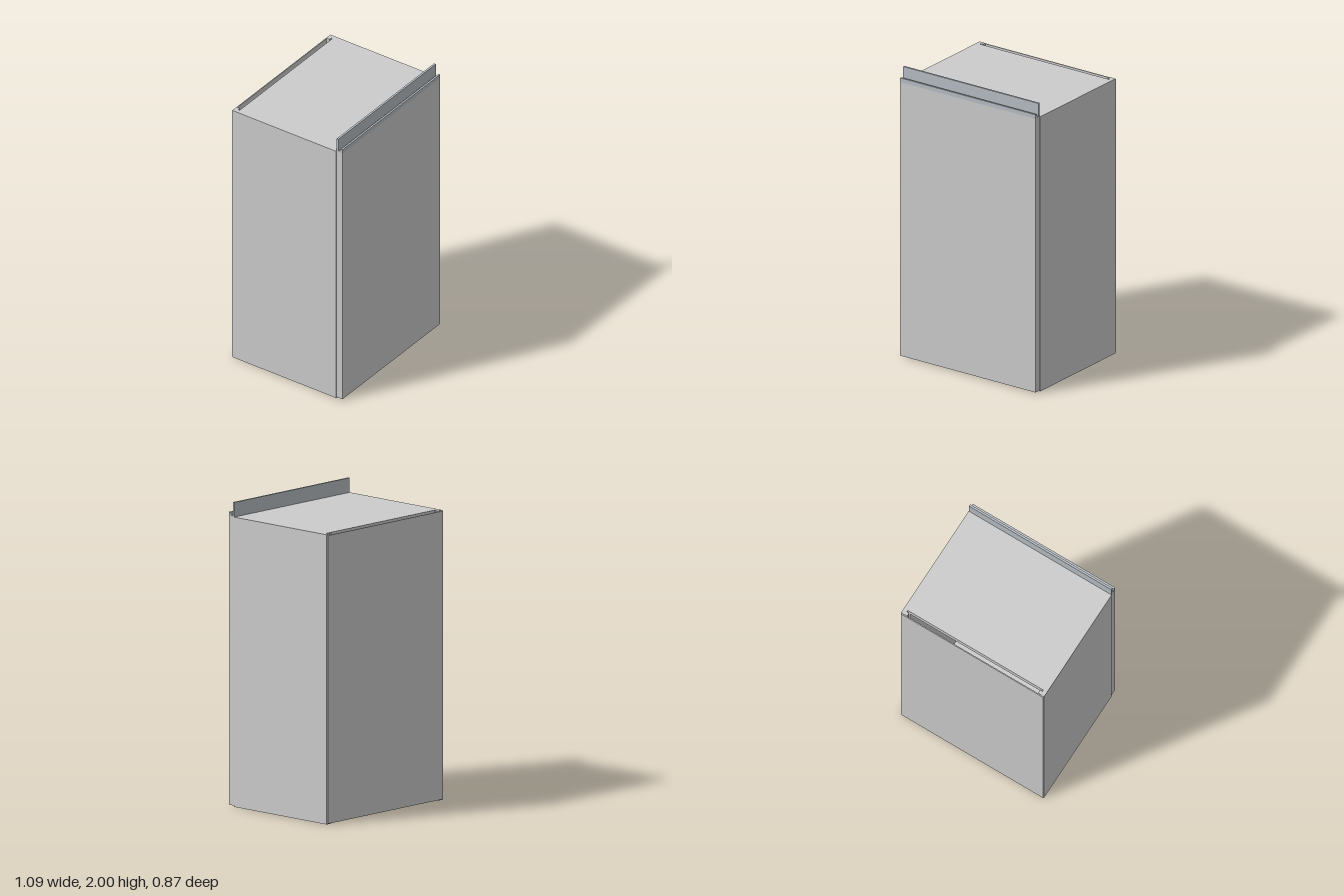
import * as THREE from 'three';

const board = new THREE.MeshStandardMaterial({ color: 0xcccccc });
const metal = new THREE.MeshStandardMaterial({ color: 0xb6bdc3 });

const W = 0.543, H = 1.904, T = 0.046; // carcass half width, height, board thickness
const BACK = -0.43, FRONT = 0.39;      // carcass depth range
const DOOR_W = 0.54;                   // door half width

// Box given by its limits on each axis
function box(name, [x0, x1], [y0, y1], [z0, z1]) {
  const geo = new THREE.BoxGeometry(x1 - x0, y1 - y0, z1 - z0);
  geo.translate((x0 + x1) / 2, (y0 + y1) / 2, (z0 + z1) / 2);
  const mesh = new THREE.Mesh(geo, board);
  mesh.name = name;
  return mesh;
}

function extrude(name, points, depth, material) {
  const shape = new THREE.Shape(points.map(([x, y]) => new THREE.Vector2(x, y)));
  const geo = new THREE.ExtrudeGeometry(shape, { depth, bevelEnabled: false });
  const mesh = new THREE.Mesh(geo, material);
  mesh.name = name;
  return mesh;
}

export function createModel() {
  const model = new THREE.Group();
  model.name = 'wallCabinet';

  // Side panels: plan outline with a groove near the back, raised upwards
  for (const s of [1, -1]) {
    const inner = W - T, groove = W - 0.028;
    const plan = [
      [W, -FRONT], [W, -BACK], [inner, -BACK], [inner, 0.405],
      [groove, 0.405], [groove, 0.395], [inner, 0.395], [inner, -FRONT],
    ].map(([x, y]) => [s * x, y]);
    const side = extrude(s > 0 ? 'leftSide' : 'rightSide', plan, H, board);
    side.rotation.x = -Math.PI / 2;
    model.add(side);
  }

  // Top and bottom stop short of the back, leaving an open slot
  const span = [-(W - T), W - T];
  model.add(box('bottomPanel', span, [0, T], [-0.395, FRONT]));
  model.add(box('topPanel', span, [H - T, H], [-0.395, FRONT]));

  // Thin back panel and front door
  model.add(box('backPanel', [-DOOR_W, DOOR_W], [0.005, H - 0.005], [-0.437, BACK]));
  model.add(box('door', [-DOOR_W, DOOR_W], [0.007, 1.903], [FRONT, 0.437]));

  // Handle rail along the door top: tall rear fin, shallow channel, front lip
  const profile = [
    [0.39, 1.903], [0.437, 1.903], [0.437, 1.932], [0.424, 1.932],
    [0.415, 1.913], [0.404, 1.91], [0.404, 2], [0.39, 2],
  ].map(([z, y]) => [-z, y]);
  const rail = extrude('handleRail', profile, DOOR_W * 2, metal);
  rail.rotation.y = Math.PI / 2;
  rail.position.x = -DOOR_W;
  model.add(rail);

  return model;
}
